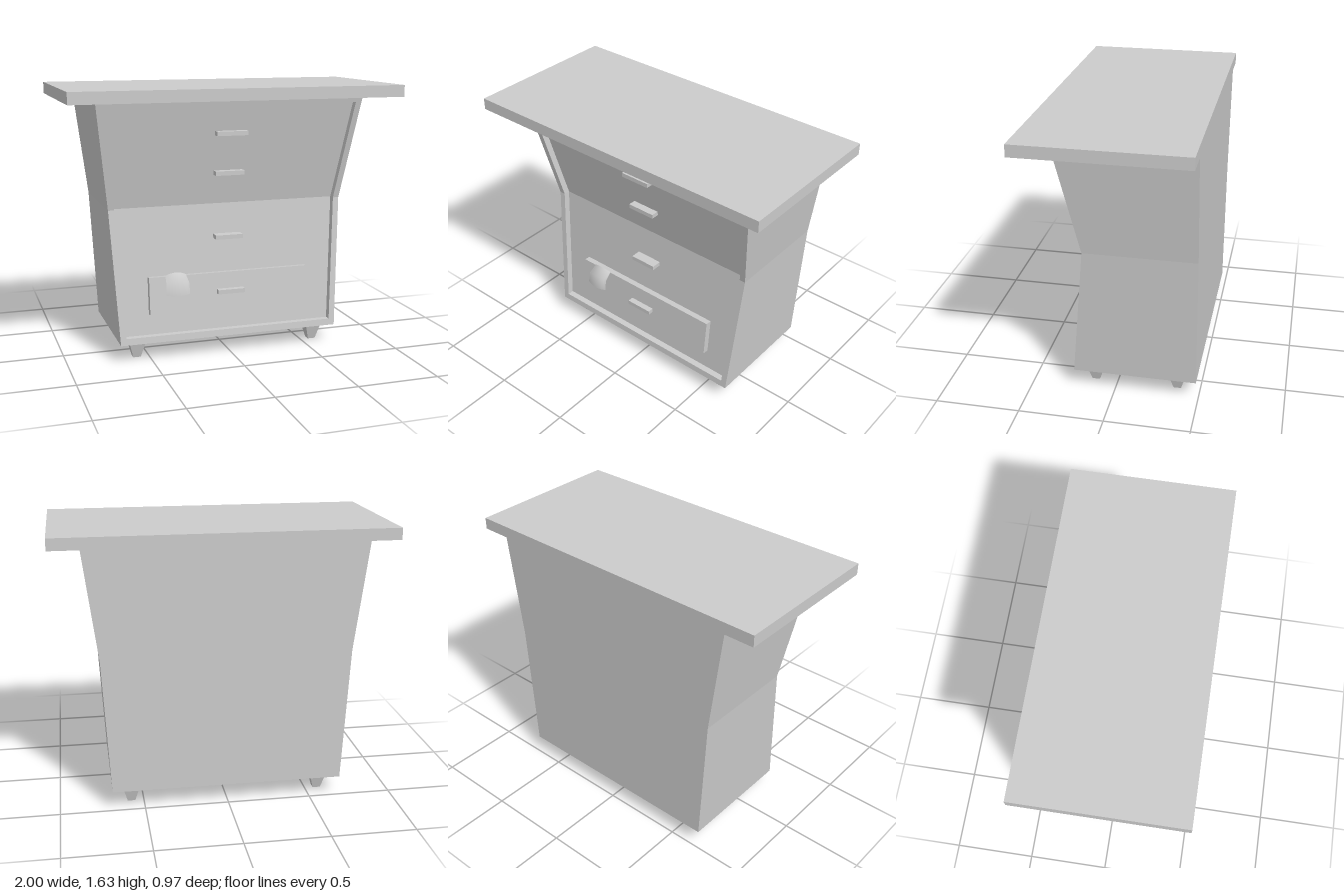
import * as THREE from 'three';

const grey = new THREE.MeshStandardMaterial({ color: 0xcccccc, flatShading: true, side: THREE.DoubleSide });
const smooth = new THREE.MeshStandardMaterial({ color: 0xcccccc, side: THREE.DoubleSide });

const BACK = -0.485, RECESS = 0.04, BORDER = 0.037;

// Carcass levels: height, half width, front z
const levels = [[0.11, 0.69, 0.247], [0.92, 0.735, 0.17], [1.57, 0.82, 0.305]];
function section(y) {
  const i = y < levels[1][0] ? 0 : 1, a = levels[i], b = levels[i + 1];
  const t = (y - a[0]) / (b[0] - a[0]);
  return { y, w: a[1] + (b[1] - a[1]) * t, z: a[2] + (b[2] - a[2]) * t };
}

// Mesh from quads, each with corners counter-clockwise from outside
function quadMesh(name, quads) {
  const pos = [];
  for (const [a, b, c, d] of quads) pos.push(...a, ...b, ...c, ...a, ...c, ...d);
  const g = new THREE.BufferGeometry();
  g.setAttribute('position', new THREE.Float32BufferAttribute(pos, 3));
  g.computeVertexNormals();
  const mesh = new THREE.Mesh(g, grey);
  mesh.name = name;
  return mesh;
}

function box(name, w, h, d, x, y, z) {
  const mesh = new THREE.Mesh(new THREE.BoxGeometry(w, h, d), grey);
  mesh.position.set(x, y, z);
  mesh.name = name;
  return mesh;
}

// Quad and its mirror image across x = 0
const mirrored = (q) => [q, q.map(([x, y, z]) => [-x, y, z]).reverse()];

// Open-bottomed carcass: sides, back and the border round the front
function carcass() {
  const quads = [];
  const outer = levels.map(([y]) => section(y));
  const inner = [0.15, 0.92, 1.525].map(section);
  for (let i = 0; i < 2; i++) {
    const a = outer[i], b = outer[i + 1], c = inner[i], d = inner[i + 1];
    const cw = c.w - BORDER, dw = d.w - BORDER;
    quads.push(...mirrored([[a.w, a.y, a.z], [a.w, a.y, BACK], [b.w, b.y, BACK], [b.w, b.y, b.z]]));
    quads.push([[a.w, a.y, BACK], [-a.w, a.y, BACK], [-b.w, b.y, BACK], [b.w, b.y, BACK]]);
    quads.push(...mirrored([[cw, c.y, c.z], [a.w, a.y, a.z], [b.w, b.y, b.z], [dw, d.y, d.z]]));
    // inner edge of the border
    quads.push(...mirrored([[cw, c.y, c.z - RECESS], [cw, c.y, c.z], [dw, d.y, d.z], [dw, d.y, d.z - RECESS]]));
  }
  const [a, , b] = outer, [c, , d] = inner, cw = c.w - BORDER, dw = d.w - BORDER;
  quads.push(
    [[-a.w, a.y, a.z], [a.w, a.y, a.z], [cw, c.y, c.z], [-cw, c.y, c.z]],
    [[-dw, d.y, d.z], [dw, d.y, d.z], [b.w, b.y, b.z], [-b.w, b.y, b.z]],
    [[-cw, c.y, c.z], [cw, c.y, c.z], [cw, c.y, c.z - RECESS], [-cw, c.y, c.z - RECESS]],
    [[-dw, d.y, d.z - RECESS], [dw, d.y, d.z - RECESS], [dw, d.y, d.z], [-dw, d.y, d.z]],
  );
  return quadMesh('carcass', quads);
}

// Raised drawer front: half width, bottom and top
const DW = 0.505, D0 = 0.276, D1 = 0.501;

// Sunken panel, left open behind the drawer front
function frontPanel() {
  const p = (y) => { const s = section(y); return [s.w - BORDER, y, s.z - RECESS]; };
  const m = ([x, y, z]) => [-x, y, z];
  const [a, b, c, d, e] = [0.15, D0, D1, 0.92, 1.525].map(p);
  const b2 = [DW, b[1], b[2]], c2 = [DW, c[1], c[2]];
  return quadMesh('frontPanel', [
    [m(a), a, b, m(b)],
    ...mirrored([b2, b, c, c2]),
    [m(c), c, d, m(d)],
    [m(d), d, e, m(e)],
  ]);
}

// Drawer front pushed out along the slope's normal
function drawerFront() {
  const lift = 0.004;
  const z0 = section(D0).z - RECESS, z1 = section(D1).z - RECESS;
  const a = [DW, D0, z0], b = [DW, D1, z1];
  const c = [DW, D0 + lift, z0 + RECESS], d = [DW, D1 + lift, z1 + RECESS];
  const m = ([x, y, z]) => [-x, y, z];
  return quadMesh('drawerFront', [
    [m(c), c, d, m(d)],
    [m(a), a, c, m(c)],
    [m(d), d, b, m(b)],
    ...mirrored([c, a, b, d]),
  ]);
}

// Curved flap hanging over the drawer: rows of centre z, y and edge z, y
function flap() {
  const rows = [[0.224, 0.53, 0.212, 0.512], [0.278, 0.487, 0.264, 0.474], [0.287, 0.4, 0.275, 0.407]];
  const halves = [0.064, 0.07, 0.073];
  const n = 10;
  const g = new THREE.PlaneGeometry(2, 1, n, rows.length - 1);
  const p = g.attributes.position;
  for (let i = 0; i < p.count; i++) {
    const r = Math.floor(i / (n + 1)), u = p.getX(i), t = u * u;
    const [cz, cy, ez, ey] = rows[r];
    p.setXYZ(i, -0.342 + u * halves[r], cy + (ey - cy) * t, cz + (ez - cz) * t);
  }
  g.computeVertexNormals();
  const mesh = new THREE.Mesh(g, smooth);
  mesh.name = 'flap';
  return mesh;
}

// Square tapered foot
function foot(x, z) {
  const g = new THREE.CylinderGeometry(0.053 * Math.SQRT2, 0.023 * Math.SQRT2, 0.11, 4, 1);
  g.rotateY(Math.PI / 4);
  const mesh = new THREE.Mesh(g, grey);
  mesh.position.set(x, 0.055, z);
  mesh.name = 'foot';
  return mesh;
}

export function createModel() {
  const model = new THREE.Group();
  model.name = 'chestOfDrawers';
  model.add(box('tableTop', 2, 0.07, 0.97, 0, 1.6, 0));
  model.add(carcass(), frontPanel(), drawerFront(), flap());

  // Handles: half width, centre height, front z
  for (const [w, y, z] of [[0.095, 1.358, 0.27], [0.09, 1.115, 0.22], [0.085, 0.722, 0.21], [0.085, 0.392, 0.257]]) {
    const depth = 0.065;
    model.add(box('handle', w * 2, 0.026, depth, 0, y, z - depth / 2));
  }

  for (const x of [-0.575, 0.575]) for (const z of [0.135, -0.363]) model.add(foot(x, z));
  return model;
}
